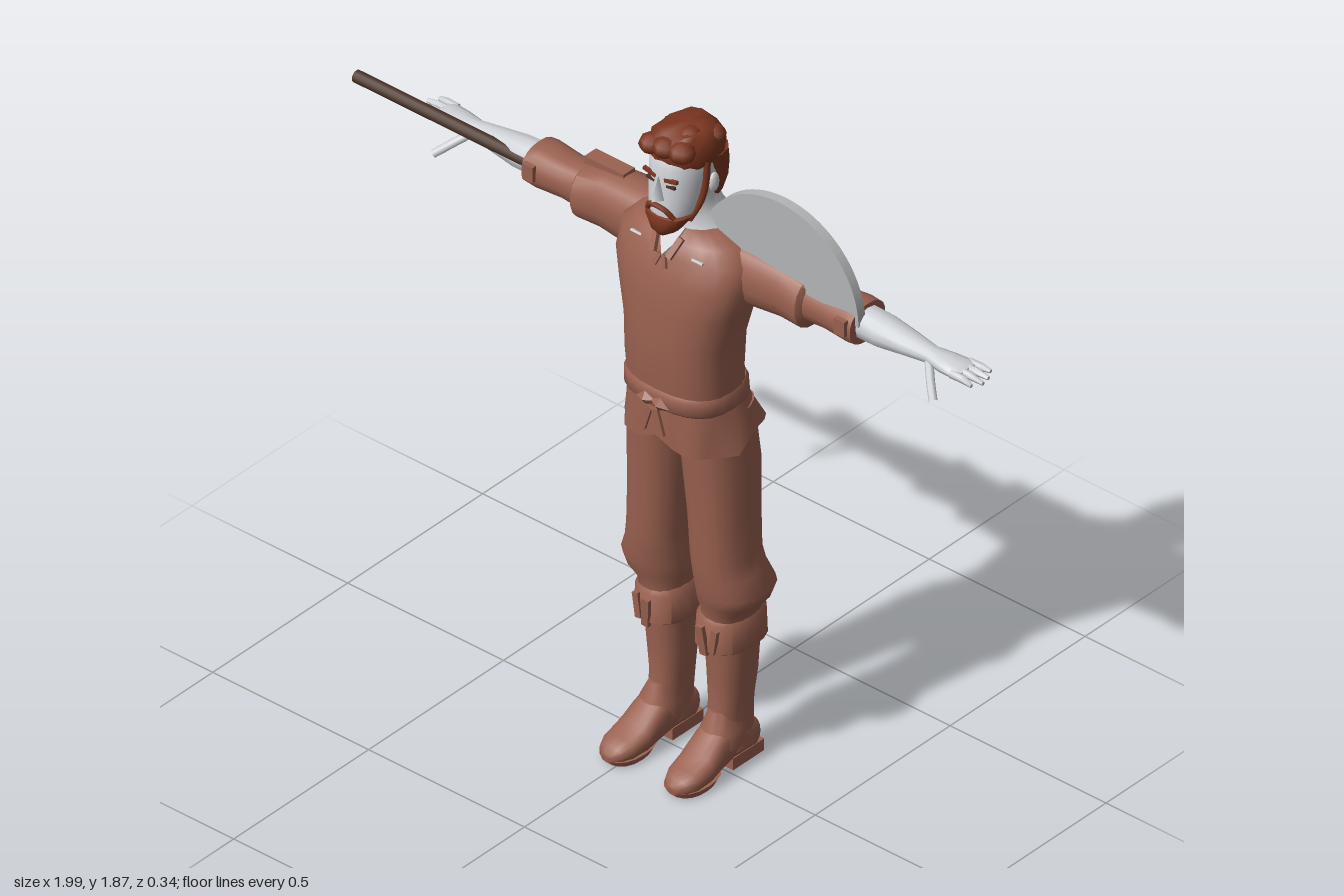
import * as THREE from 'three';
import { toCreasedNormals } from 'three/addons/utils/BufferGeometryUtils.js';

const mat = (name, color, side = THREE.FrontSide) => {
  const m = new THREE.MeshStandardMaterial({ color, side });
  m.name = name;
  return m;
};

// Skins oval cross-sections [position, centreU, centreV, radiusU, radiusV] along an axis.
// U and V are the other two axes: y -> (x, z), x -> (y, z), z -> (x, y).
function loft(axis, sections, { n = 18, power = 2.3, caps = true, rule = null } = {}) {
  const pos = [], index = [];
  const put = (p, u, v) => pos.push(...(axis === 'y' ? [u, p, v] : axis === 'x' ? [p, u, v] : [u, v, p]));
  const round = (v) => Math.sign(v) * Math.abs(v) ** (2 / power);
  const dir = axis === 'y' ? -1 : 1;
  sections.forEach(([p, cu, cv, ru, rv]) => {
    for (let j = 0; j < n; j++) {
      const t = (j / n) * Math.PI * 2;
      put(p, cu + ru * round(Math.cos(t)), cv + dir * rv * round(Math.sin(t)));
    }
  });
  const rows = sections.length;
  for (let i = 0; i < rows - 1; i++) for (let j = 0; j < n; j++) {
    const a = i * n + j, b = i * n + (j + 1) % n;
    index.push(a, b, b + n, a, b + n, a + n);
  }
  if (caps) [0, rows - 1].forEach((r) => {
    const c = pos.length / 3, [p, cu, cv] = sections[r];
    put(p, cu, cv);
    for (let j = 0; j < n; j++) {
      const a = r * n + j, b = r * n + (j + 1) % n;
      index.push(...(r ? [c, a, b] : [c, b, a]));
    }
  });
  const g = new THREE.BufferGeometry();
  g.setAttribute('position', new THREE.Float32BufferAttribute(pos, 3));
  g.setIndex(index);
  if (rule) {
    const v = new THREE.Vector3(), p = g.attributes.position;
    for (let i = 0; i < p.count; i++) { rule(v.fromBufferAttribute(p, i)); p.setXYZ(i, v.x, v.y, v.z); }
  }
  return toCreasedNormals(g, 0.9);
}

// Shorthand for sections given by front and back z: [y, cx, rx, zFront, zBack]
const body = (rows) => rows.map(([y, cx, rx, f, b]) => [y, cx, (f + b) / 2, rx, (f - b) / 2]);

// Reflects a geometry across x and restores its winding
function mirror(geo) {
  const g = geo.index ? geo.toNonIndexed() : geo.clone();
  g.scale(-1, 1, 1);
  for (const key of ['position', 'normal']) {
    const a = g.attributes[key], v = new THREE.Vector3(), w = new THREE.Vector3();
    for (let i = 0; i < a.count; i += 3) {
      v.fromBufferAttribute(a, i + 1); w.fromBufferAttribute(a, i + 2);
      a.setXYZ(i + 1, w.x, w.y, w.z); a.setXYZ(i + 2, v.x, v.y, v.z);
    }
  }
  return g;
}

const box = (w, h, d, x, y, z, rx = 0, rz = 0) =>
  new THREE.BoxGeometry(w, h, d).rotateX(rx).rotateZ(rz).translate(x, y, z);

const tube = (pts, r, sides = 8) =>
  new THREE.TubeGeometry(new THREE.CatmullRomCurve3(pts.map((p) => new THREE.Vector3(...p))), 8, r, sides);

// Rounded lump
const lump = (x, y, z, a, b, c) => new THREE.SphereGeometry(1, 8, 6).scale(a, b, c).translate(x, y, z);

export function createModel() {
  const cloth = mat('brown cloth', 0x9a6150);
  const clothOpen = mat('brown cloth open edge', 0x9a6150, THREE.DoubleSide);
  const skin = mat('pale skin', 0xd0d3d7);
  const hair = mat('auburn hair', 0x7c3720);
  const wood = mat('dark wood', 0x4b3329);
  const metal = mat('grey metal', 0xb4b5b6);

  const root = new THREE.Group();
  root.name = 'figure';
  const man = new THREE.Group();
  man.name = 'man';
  man.position.x = 0.087;
  root.add(man);
  const add = (name, geo, m) => {
    const mesh = new THREE.Mesh(geo, m);
    mesh.name = name;
    man.add(mesh);
  };
  const pair = (name, geo, m) => { add(name + 'Left', geo, m); add(name + 'Right', mirror(geo), m); };

  // Tunic, belt and flared skirt
  add('tunic', loft('y', body([[1.09, 0, .15, .112, -.115], [1.18, 0, .152, .122, -.108], [1.28, 0, .156, .122, -.112],
    [1.37, 0, .178, .118, -.124], [1.45, 0, .2, .108, -.135], [1.52, 0, .195, .086, -.14],
    [1.555, 0, .16, .066, -.138], [1.58, 0, .085, .045, -.125]]), { n: 24, power: 2.5 }), cloth);
  add('belt', loft('y', body([[1.08, 0, .15, .114, -.118], [1.09, 0, .158, .122, -.126], [1.125, 0, .156, .123, -.124],
    [1.137, 0, .15, .116, -.116]]), { n: 24, power: 2.5 }), cloth);
  add('skirt', loft('y', body([[.98, 0, .178, .112, -.16], [1.04, 0, .163, .112, -.135], [1.1, 0, .15, .11, -.115]]),
    { n: 32, power: 2.5, caps: false, rule: (v) => {
      const low = (1.1 - v.y) / .12, t = Math.atan2(v.z, v.x);
      const fold = 1 + .045 * low * Math.cos(8 * t);
      v.x *= fold; v.z *= fold;
      v.y += low * (v.z > 0 ? -.015 + .035 * Math.exp(-((v.x / .03) ** 2)) : .015);
    } }), clothOpen);
  pair('beltKnot', new THREE.OctahedronGeometry(1).scale(.032, .02, .014).rotateZ(-.15).translate(.022, 1.103, .126), cloth);
  pair('beltTail', box(.02, .075, .008, .02, 1.05, .128, 0, .3), cloth);

  // Neckline opening, collar flaps and small slits
  const vee = new THREE.Shape([[0, 0], [.02, .035], [.036, .085], [-.036, .085], [-.02, .035]].map((p) => new THREE.Vector2(...p)));
  add('neckOpening', new THREE.ExtrudeGeometry(vee, { depth: .006, bevelEnabled: false })
    .rotateX(-.58).translate(0, 1.515, .088), skin);
  pair('collarFlap', box(.016, .06, .012, .032, 1.545, .08, -.58, -.3), cloth);
  pair('collarTie', box(.012, .035, .008, .012, 1.505, .096, -.3, .35), cloth);
  pair('chestSlit', box(.034, .006, .009, .098, 1.53, .071, -.4), skin);
  pair('backPatch', box(.05, .028, .009, .06, 1.568, -.126, .9, -.2), skin);

  // Sleeves, forearms and hands
  pair('upperSleeve', loft('x', [[.08, 1.475, -.055, .085, .07], [.2, 1.477, -.06, .088, .078], [.29, 1.477, -.062, .08, .072],
    [.36, 1.474, -.06, .076, .076], [.368, 1.474, -.06, .066, .066]]), cloth);
  pair('lowerSleeve', loft('x', [[.35, 1.475, -.062, .058, .06], [.42, 1.476, -.062, .053, .058], [.5, 1.478, -.062, .058, .066],
    [.527, 1.478, -.062, .054, .066], [.527, 1.478, -.062, .046, .055]]), cloth);
  pair('shoulderStrap', box(.125, .022, .042, .305, 1.558, -.068), cloth);
  pair('forearm', loft('x', [[.5, 1.478, -.063, .044, .046], [.58, 1.477, -.063, .04, .046], [.66, 1.475, -.065, .029, .037],
    [.73, 1.473, -.066, .021, .026], [.78, 1.472, -.067, .02, .037], [.825, 1.474, -.067, .016, .042],
    [.845, 1.474, -.067, .01, .038]], { n: 12 }), skin);
  for (let i = 0; i < 4; i++) {
    const z = -.1 + i * .022, end = [.885, .9, .905, .89][i];
    pair('finger' + (i + 1), loft('x', [[.82, 1.475, z, .011, .011], [.86, 1.476, z - .002 + i * .001, .01, .01],
      [end, 1.473, z - .006 + i * .004, .005, .005]], { n: 8 }), skin);
  }
  pair('thumb', tube([[.735, 1.465, -.05], [.765, 1.44, -.02], [.79, 1.418, .002], [.802, 1.408, .012]], .011), skin);

  // Trousers, gathered knees and cuffs
  pair('trouserLeg', loft('y', body([[.44, .1, .064, .03, -.13], [.47, .102, .068, .032, -.135], [.5, .112, .086, .045, -.142],
    [.535, .117, .095, .052, -.146], [.585, .107, .082, .06, -.13], [.63, .102, .078, .064, -.122], [.75, .096, .08, .066, -.124],
    [.9, .088, .086, .075, -.13], [1.06, .078, .08, .085, -.12]])), cloth);
  pair('kneeCuff', loft('y', body([[.355, .098, .066, .03, -.14], [.365, .098, .076, .044, -.15], [.44, .098, .074, .038, -.146],
    [.458, .098, .064, .026, -.13]])), cloth);
  pair('cuffTie', box(.022, .085, .012, .09, .395, .046, .1, .1), cloth);
  pair('cuffSideTie', box(.018, .07, .012, .122, .4, .04, 0, -.15), cloth);

  // Boots
  pair('bootShaft', loft('y', body([[.05, .098, .05, .02, -.122], [.11, .096, .045, .016, -.118], [.18, .094, .047, .006, -.12],
    [.26, .096, .055, .008, -.126], [.38, .098, .062, .016, -.13]])), cloth);
  pair('bootFoot', loft('z', [[-.125, .097, .055, .032, .035], [-.1, .097, .06, .046, .045], [-.02, .097, .08, .049, .062],
    [.03, .099, .066, .051, .054], [.08, .102, .043, .054, .037], [.13, .104, .034, .05, .028], [.16, .105, .029, .036, .021],
    [.176, .105, .025, .016, .012]], { power: 2.6 }), cloth);
  pair('bootHeel', box(.084, .034, .115, .097, .017, -.07), cloth);
  pair('bootSole', loft('y', body([[.004, .103, .05, .168, .035], [.02, .103, .055, .178, .015]])), cloth);
  pair('instepFlap', loft('y', body([[.07, .099, .052, .055, -.08], [.115, .098, .05, .036, -.09], [.165, .096, .028, .014, -.06]])), cloth);

  // Neck, head and facial features
  add('neck', loft('y', body([[1.545, 0, .1, .05, -.125], [1.582, 0, .09, .04, -.125], [1.61, 0, .066, .034, -.108],
    [1.65, 0, .058, .04, -.09], [1.7, 0, .056, .04, -.08]]), { power: 2 }), skin);
  add('head', loft('y', body([[1.595, 0, .026, .1, .045], [1.615, 0, .047, .106, .01], [1.65, 0, .063, .107, -.04],
    [1.69, 0, .07, .104, -.07], [1.735, 0, .076, .1, -.085], [1.78, 0, .077, .098, -.088], [1.825, 0, .068, .08, -.08],
    [1.85, 0, .04, .05, -.05]]), { n: 20 }), skin);
  add('nose', new THREE.ConeGeometry(.018, .065, 4).scale(1, 1, 1.35).translate(0, 1.725, .105), skin);
  pair('ear', lump(.078, 1.715, -.012, .01, .028, .017), skin);
  pair('eye', box(.026, .007, .008, .032, 1.733, .094, 0, .1), wood);
  pair('eyebrow', box(.04, .009, .009, .034, 1.752, .096, 0, .2), hair);

  // Beard, moustache and sideburns
  add('beard', loft('y', body([[1.582, 0, .014, .1, .065], [1.598, 0, .038, .112, .035], [1.625, 0, .057, .115, .015],
    [1.641, 0, .064, .111, .01], [1.645, 0, .058, .1, .02]])), hair);
  add('moustache', tube([[-.04, 1.642, .093], [-.026, 1.666, .106], [0, 1.675, .112], [.026, 1.666, .106], [.04, 1.642, .093]], .007), hair);
  pair('sideburn', tube([[.05, 1.625, .05], [.064, 1.665, .03], [.072, 1.71, .018], [.075, 1.79, .012]], .011), hair);

  // Hair cap, nape and tousled locks
  add('hairCap', loft('y', body([[1.775, 0, .082, .088, -.1], [1.8, 0, .086, .096, -.102], [1.835, 0, .08, .092, -.09],
    [1.858, .006, .058, .07, -.068], [1.866, .01, .03, .04, -.035]]), { n: 14, rule: (v) => {
    v.y += .006 * Math.sin(v.x * 90 + v.z * 60);
  } }), hair);
  add('hairBack', loft('y', body([[1.63, 0, .042, -.045, -.075], [1.655, 0, .06, -.025, -.088], [1.7, 0, .073, -.015, -.1],
    [1.75, 0, .081, .012, -.105], [1.785, 0, .083, .03, -.103]]), { n: 14 }), hair);
  for (const [x, y, z, r] of [[-.05, 1.815, .07, .034], [0, 1.828, .078, .034], [.045, 1.828, .068, .036], [.03, 1.845, .02, .032],
    [-.04, 1.835, 0, .032], [.05, 1.83, -.04, .034], [-.035, 1.825, -.06, .034]])
    add('hairLock', lump(x, y, z, r, r * .8, r), hair);

  // Half disc blade over the left arm
  const half = new THREE.Shape();
  half.absarc(0, 0, .255, 0, Math.PI, false);
  half.closePath();
  add('halfDisc', new THREE.ExtrudeGeometry(half, { depth: .026, bevelEnabled: false, curveSegments: 32 })
    .translate(.283, 1.49, -.042), metal);
  pair('cuffFastener', box(.034, .045, .014, .5, 1.488, .006), cloth);

  // Staff along the right arm
  add('staff', new THREE.CylinderGeometry(.017, .017, .68, 12).rotateZ(Math.PI / 2).translate(-.747, 1.484, -.032), wood);
  return root;
}
